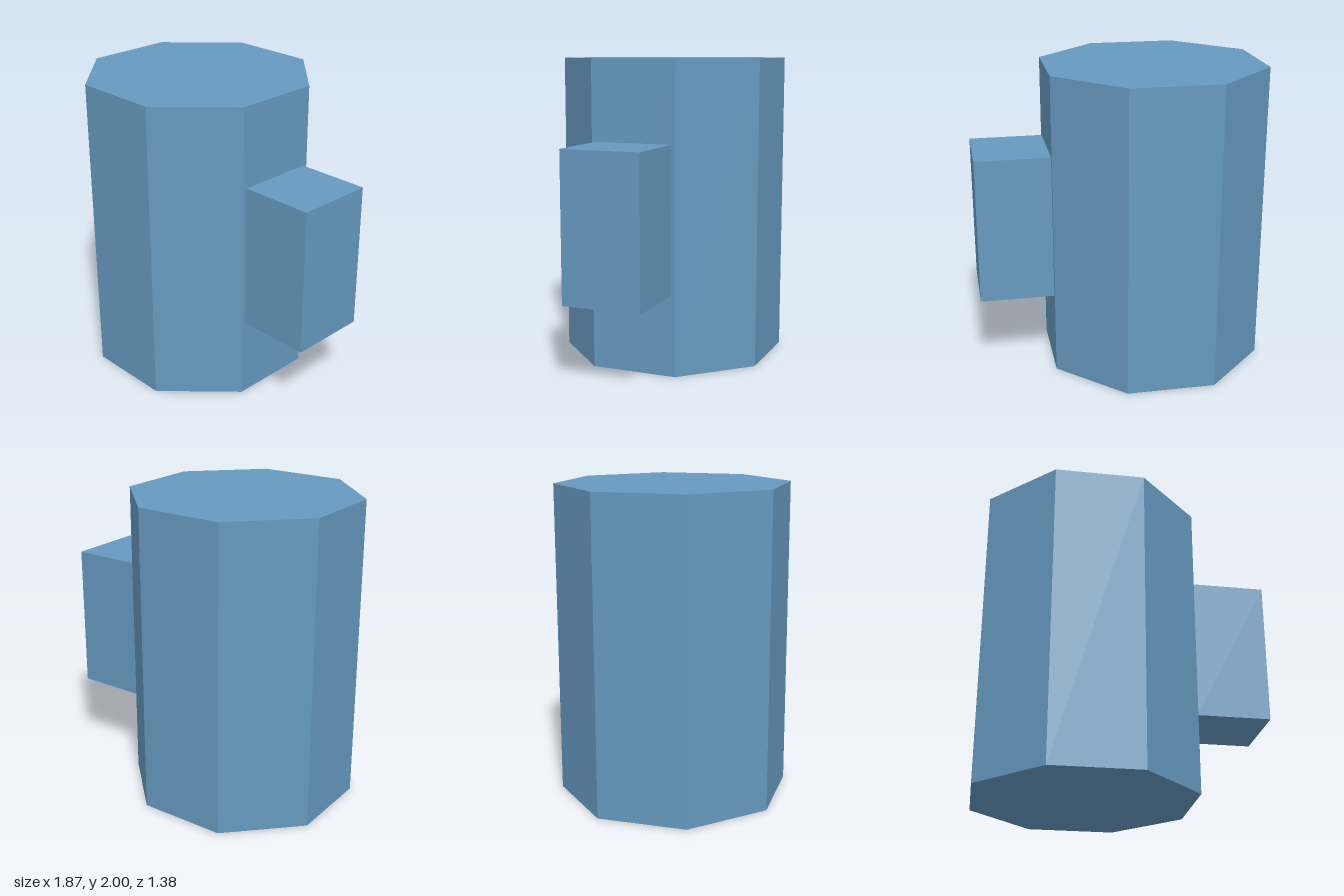
import * as THREE from 'three';

export function createModel() {
  const model = new THREE.Group();
  const material = new THREE.MeshStandardMaterial({ color: 0x6699bf, flatShading: true });

  // Octagonal body, turned so flat sides face the axes
  const apothem = 0.695;
  const radius = apothem / Math.cos(Math.PI / 8);
  const bodyGeometry = new THREE.CylinderGeometry(radius, radius, 2, 8);
  bodyGeometry.rotateY(Math.PI / 8);
  bodyGeometry.scale(1, 1, 0.99);
  const body = new THREE.Mesh(bodyGeometry, material);
  body.name = 'body';
  body.position.set(-0.24, 1, 0);
  model.add(body);

  // Solid block handle on the left side
  const handle = new THREE.Mesh(new THREE.BoxGeometry(0.48, 0.95, 0.515), material);
  handle.name = 'handle';
  handle.position.set(0.695, 1.003, 0);
  model.add(handle);

  return model;
}
